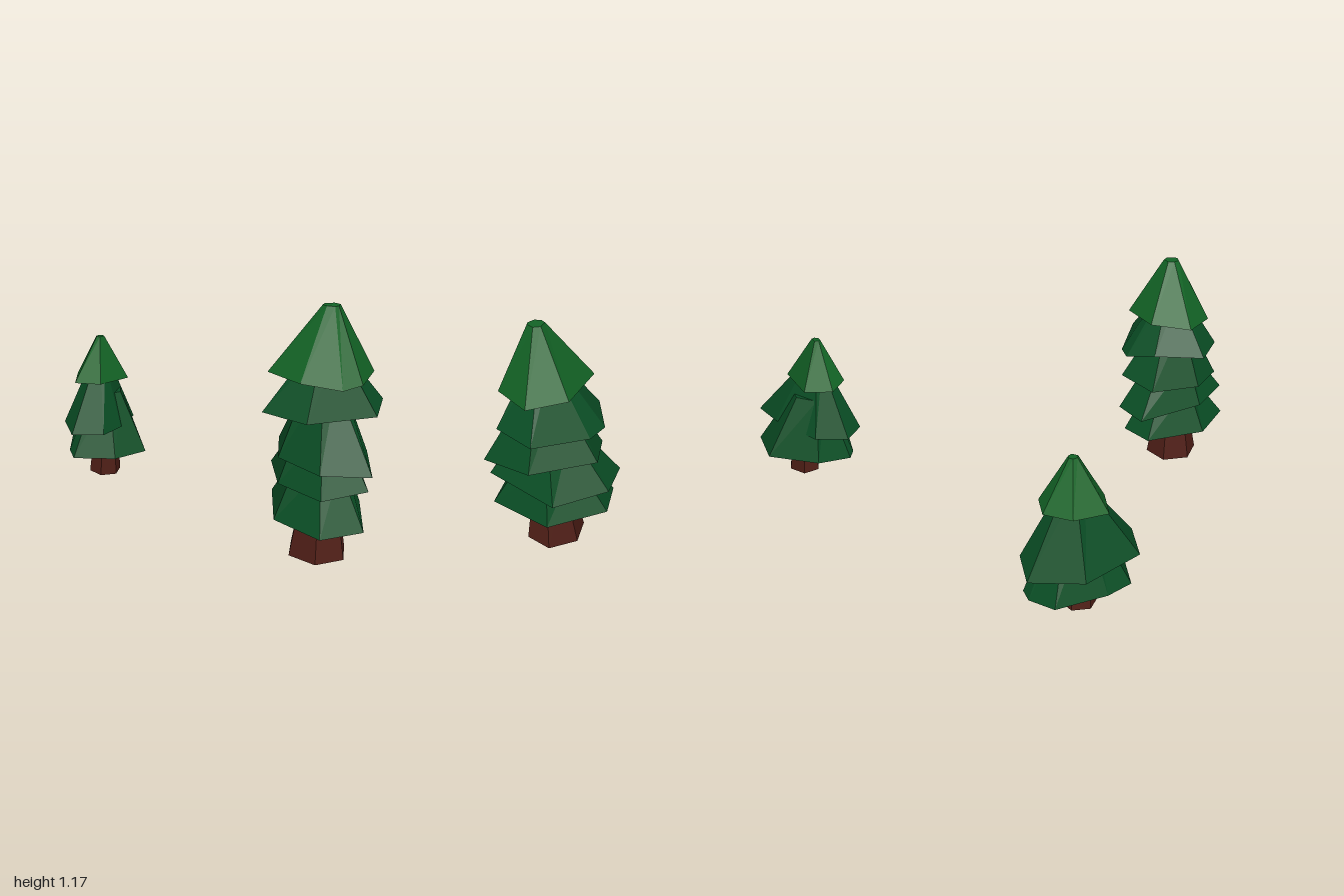
import * as THREE from 'three';

const bark = new THREE.MeshStandardMaterial({ color: 0x501f17, flatShading: true });
const needles = new THREE.MeshStandardMaterial({ color: 0x0a4e25, flatShading: true });
const tipNeedles = new THREE.MeshStandardMaterial({ color: 0x136426, flatShading: true });

// Skin rings of points, listed bottom to top; the first and last rings are collapsed to a point
function loft(rings) {
  const pos = [];
  const tri = (...pts) => pts.forEach((p) => pos.push(p.x, p.y, p.z));
  const n = rings[0].length;
  for (let k = 0; k < rings.length - 1; k++) {
    const b = rings[k], t = rings[k + 1];
    for (let i = 0; i < n; i++) {
      const j = (i + 1) % n;
      if (k > 0) tri(b[j], b[i], t[i]);
      if (k < rings.length - 2) tri(b[j], t[i], t[j]);
    }
  }
  const g = new THREE.BufferGeometry();
  g.setAttribute('position', new THREE.Float32BufferAttribute(pos, 3));
  g.computeVertexNormals();
  return g;
}

// One skirt of branches: ragged rim, small flat top, hollowed underside
function tier(name, material, [tx, ty, tz], topRadius, corners) {
  const top = new THREE.Vector3(tx, ty, tz);
  const angle = (p) => Math.atan2(p.z - tz, p.x - tx);
  const rim = corners.map((c) => new THREE.Vector3(...c)).sort((a, b) => angle(a) - angle(b));
  const mid = rim.reduce((s, p) => s.add(p), new THREE.Vector3()).divideScalar(rim.length);
  const lift = 0.15 * (ty - mid.y);
  const hollow = mid.clone().setY(mid.y + lift * 1.3);
  const inner = rim.map((p) => p.clone().lerp(mid, 0.25).setY(p.y + lift));
  const crown = rim.map((p) => new THREE.Vector3(
    tx + topRadius * Math.cos(angle(p)), ty, tz + topRadius * Math.sin(angle(p))));
  const mesh = new THREE.Mesh(
    loft([rim.map(() => hollow), inner, rim, crown, rim.map(() => top)]), material);
  mesh.name = name;
  return mesh;
}

// Six-sided tapering trunk
function trunk(topRadius, bottomRadius, height, x, y, z) {
  const mesh = new THREE.Mesh(new THREE.CylinderGeometry(topRadius, bottomRadius, height, 6), bark);
  mesh.position.set(x, y + height / 2, z);
  mesh.name = 'trunk';
  return mesh;
}

function largeTree() {
  const tree = new THREE.Group();
  tree.name = 'largeTree';
  tree.add(
    trunk(0.085, 0.146, 0.34, -0.007, 0, 0.7),
    tier('lowestBranches', needles, [0, 0.46, 0.69], 0.13, [
      [-0.262, 0.21, 0.87], [-0.08, 0.212, 0.98], [0.21, 0.205, 0.79],
      [0.21, 0.21, 0.49], [0.04, 0.21, 0.4], [-0.225, 0.21, 0.6]]),
    tier('lowerBranches', needles, [0, 0.63, 0.69], 0.12, [
      [-0.25, 0.385, 0.86], [-0.06, 0.4, 0.98], [0.24, 0.335, 0.76],
      [0.24, 0.35, 0.485], [0.07, 0.345, 0.37], [-0.2, 0.38, 0.6]]),
    tier('middleBranches', needles, [0, 0.84, 0.69], 0.08, [
      [-0.22, 0.485, 0.83], [-0.07, 0.475, 1.0], [0.16, 0.49, 0.84],
      [0.24, 0.53, 0.53], [0.03, 0.5, 0.44], [-0.19, 0.5, 0.59]]),
    tier('upperBranches', needles, [0.01, 1.0, 0.69], 0.06, [
      [-0.23, 0.705, 0.76], [0.05, 0.705, 0.94], [0.28, 0.712, 0.84],
      [0.25, 0.675, 0.56], [0.19, 0.68, 0.47], [0.02, 0.72, 0.44], [-0.23, 0.71, 0.525]]),
    tier('treeTop', tipNeedles, [0.017, 1.175, 0.705], 0.04, [
      [-0.2, 0.867, 0.7], [-0.1, 0.84, 0.85], [-0.02, 0.857, 0.9], [0.2, 0.86, 0.83],
      [0.235, 0.88, 0.64], [0.05, 0.89, 0.465], [-0.16, 0.875, 0.5]]));
  return tree;
}

function smallTree() {
  const tree = new THREE.Group();
  tree.name = 'smallTree';
  const stem = trunk(0.065, 0.088, 0.28, 0, 0.02, -0.73);
  stem.rotation.x = 0.08;
  tree.add(
    stem,
    tier('lowerBranches', needles, [0.02, 0.5, -0.72], 0.09, [
      [0.06, 0.18, -0.475], [0.2, 0.165, -0.7], [0.2, 0.148, -0.9], [0.15, 0.148, -0.95],
      [0.0, 0.18, -1.0], [-0.18, 0.17, -0.83], [-0.25, 0.17, -0.72], [-0.13, 0.18, -0.52]]),
    tier('middleBranches', needles, [0, 0.67, -0.745], 0.05, [
      [-0.28, 0.32, -0.69], [-0.19, 0.33, -0.54], [-0.04, 0.33, -0.56], [0.18, 0.31, -0.68],
      [0.23, 0.3, -0.85], [0.13, 0.285, -0.99], [-0.12, 0.3, -0.93]]),
    tier('treeTop', tipNeedles, [0, 0.805, -0.74], 0.022, [
      [-0.17, 0.57, -0.77], [-0.1, 0.57, -0.645], [0.1, 0.565, -0.635],
      [0.16, 0.57, -0.77], [0.09, 0.58, -0.88], [-0.05, 0.58, -0.88]]));
  return tree;
}

export function createModel() {
  const model = new THREE.Group();
  model.name = 'pineTrees';
  model.add(largeTree(), smallTree());
  return model;
}
